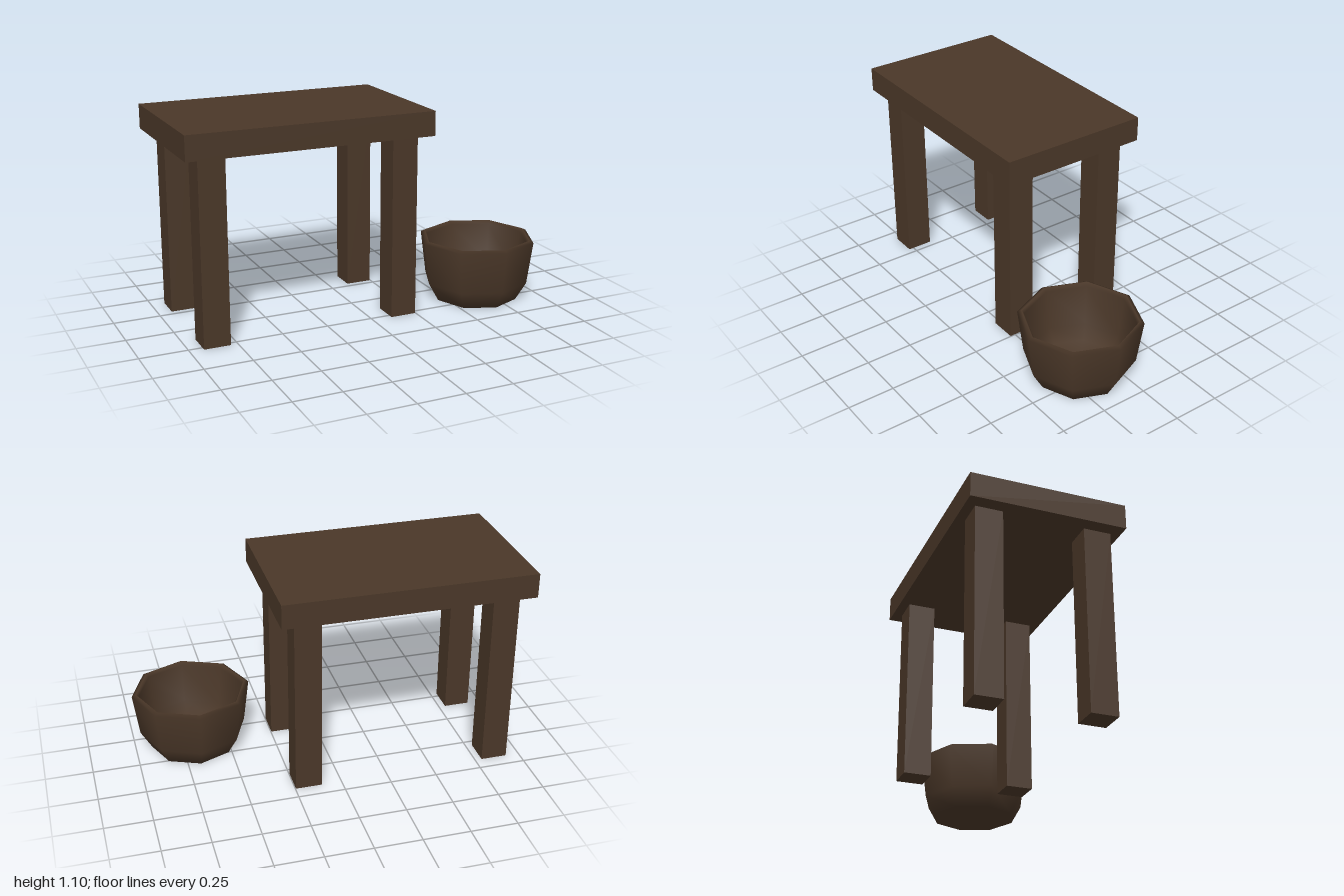
import * as THREE from 'three';

export function createModel() {
  const model = new THREE.Group();
  const wood = new THREE.MeshStandardMaterial({ color: 0x4a3728 });
  wood.name = 'dark wood';

  const addBox = (name, size, position) => {
    const mesh = new THREE.Mesh(new THREE.BoxGeometry(...size), wood);
    mesh.name = name;
    mesh.position.set(...position);
    model.add(mesh);
  };

  // Table: thick top on four square legs
  const cx = -0.34, cz = -0.075;
  addBox('tableTop', [1.32, 0.13, 0.805], [cx, 1.037, cz]);
  for (const [side, sx] of [['Left', 1], ['Right', -1]]) {
    for (const [end, sz] of [['front', 1], ['back', -1]]) {
      addBox(`${end}${side}Leg`, [0.14, 0.972, 0.142], [cx + sx * 0.517, 0.486, cz + sz * 0.281]);
    }
  }

  // Eight-sided hollow bowl: outside from the base up, over the rim, down the inside
  const profile = [
    [0, 0], [0.23, 0], [0.287, 0.1], [0.318, 0.333], [0.295, 0.345],
    [0.283, 0.325], [0.255, 0.11], [0.205, 0.04], [0, 0.03],
  ].map(([r, y]) => new THREE.Vector2(r, y));
  const bowl = new THREE.Mesh(new THREE.LatheGeometry(profile, 8), wood);
  bowl.name = 'bowl';
  bowl.position.set(0.682, 0, 0.159);
  model.add(bowl);

  return model;
}
